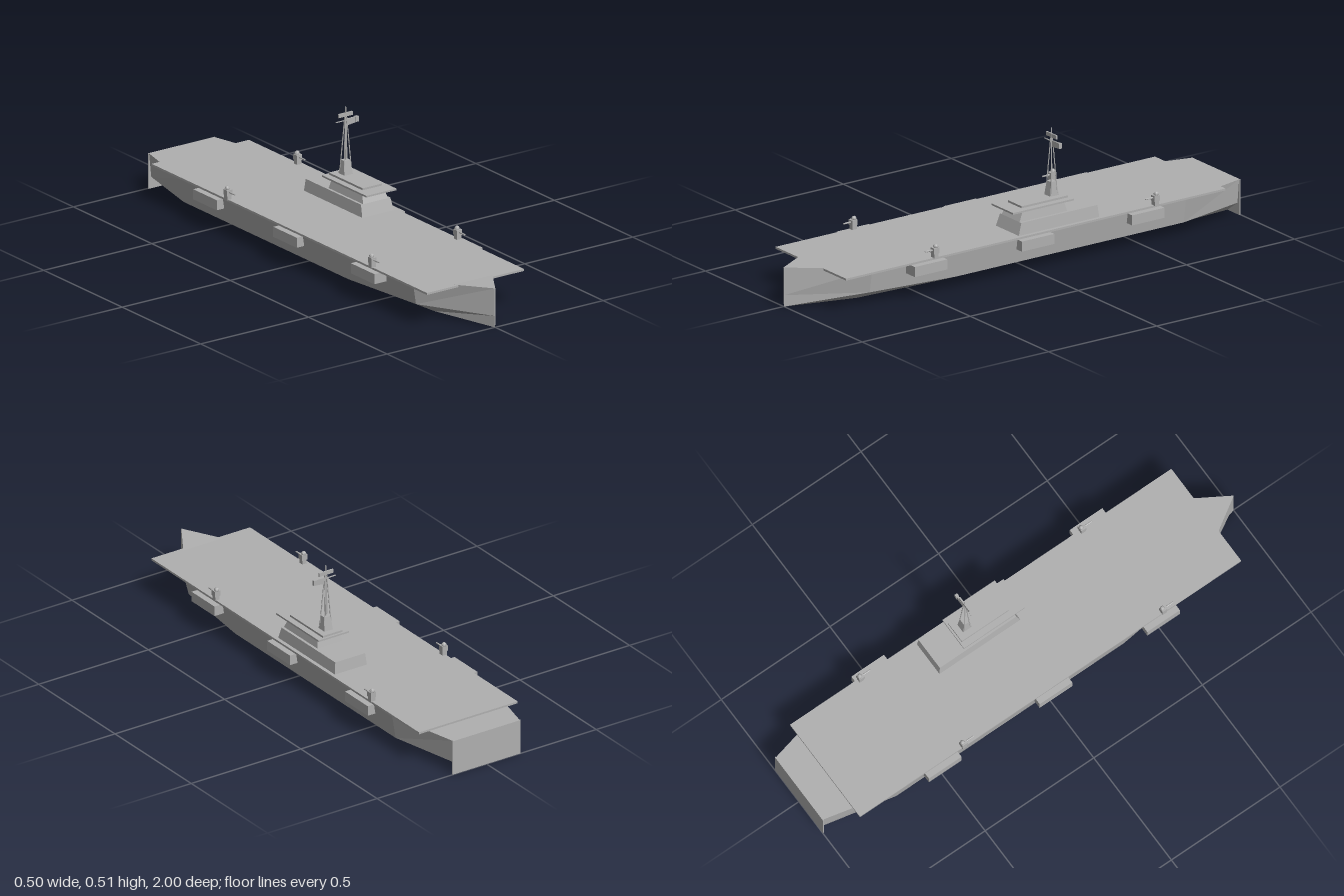
import * as THREE from 'three';

const grey = new THREE.MeshStandardMaterial({ color: 0xb0b0b0, flatShading: true });
grey.name = 'ship grey';

function part(name, geometry, parent) {
  const mesh = new THREE.Mesh(geometry, grey);
  mesh.name = name;
  parent.add(mesh);
  return mesh;
}

// Box given by its limits
function block(name, parent, x0, x1, y0, y1, z0, z1) {
  const mesh = part(name, new THREE.BoxGeometry(x1 - x0, y1 - y0, z1 - z0), parent);
  mesh.position.set((x0 + x1) / 2, (y0 + y1) / 2, (z0 + z1) / 2);
  return mesh;
}

// Box with separate bottom and top rectangles [x0, x1, z0, z1]
function taperedBlock(name, parent, y0, y1, bottom, top) {
  const g = new THREE.BoxGeometry(1, 1, 1);
  const p = g.attributes.position;
  for (let i = 0; i < p.count; i++) {
    const up = p.getY(i) > 0;
    const r = up ? top : bottom;
    p.setXYZ(i, r[p.getX(i) > 0 ? 1 : 0], up ? y1 : y0, r[p.getZ(i) > 0 ? 3 : 2]);
  }
  g.computeVertexNormals();
  return part(name, g, parent);
}

// Thin rod between two points
function rod(name, parent, a, b, r0, r1 = r0) {
  const from = new THREE.Vector3(...a), to = new THREE.Vector3(...b);
  const dir = to.clone().sub(from);
  const mesh = part(name, new THREE.CylinderGeometry(r1, r0, dir.length(), 6), parent);
  mesh.position.copy(from).add(to).multiplyScalar(0.5);
  mesh.quaternion.setFromUnitVectors(new THREE.Vector3(0, 1, 0), dir.normalize());
  return mesh;
}

// Hull lofted through sections: z, half widths at top, chine and keel, top height
function hullGeometry() {
  const sections = [
    [1, 0.001, 0.001, 0.001, 0.155],
    [0.72, 0.178, 0.163, 0.08, 0.141],
    [0.35, 0.222, 0.207, 0.1, 0.141],
    [-0.7, 0.222, 0.207, 0.1, 0.141],
    [-0.995, 0.153, 0.143, 0.08, 0.14],
  ];
  const points = [], index = [];
  for (const [z, top, chine, keel, y] of sections) {
    points.push(top, y, z, chine, 0.045, z, keel, 0, z);
    points.push(-keel, 0, z, -chine, 0.045, z, -top, y, z);
  }
  for (let s = 0; s < sections.length - 1; s++) {
    for (let i = 0; i < 6; i++) {
      const a = s * 6 + i, b = s * 6 + (i + 1) % 6;
      index.push(a, b, a + 6, b, b + 6, a + 6);
    }
  }
  const g = new THREE.BufferGeometry();
  g.setAttribute('position', new THREE.Float32BufferAttribute(points, 3));
  g.setIndex(index);
  const flat = g.toNonIndexed();
  flat.computeVertexNormals();
  return flat;
}

// Small deck gun pointing forward
function deckGun(x, z) {
  const gun = new THREE.Group();
  gun.name = 'deckGun';
  block('gunBase', gun, -0.01, 0.01, 0, 0.022, -0.01, 0.01);
  block('gunBody', gun, -0.012, 0.012, 0.018, 0.04, -0.012, 0.012);
  const dome = part('gunDome', new THREE.SphereGeometry(0.01, 8, 6), gun);
  dome.position.set(0, 0.043, -0.004);
  rod('gunBarrel', gun, [0, 0.031, 0.008], [0, 0.031, 0.045], 0.004, 0.003);
  gun.position.set(x, 0.146, z);
  return gun;
}

export function createModel() {
  const ship = new THREE.Group();
  ship.name = 'carrier';

  // Hull, stem and transom
  part('hull', hullGeometry(), ship);
  block('stem', ship, -0.002, 0.002, 0.01, 0.155, 0.992, 1);
  block('transom', ship, -0.155, 0.155, 0, 0.14, -1, -0.995);

  // Flight deck
  block('flightDeck', ship, -0.225, 0.225, 0.14, 0.148, -0.88, 0.875);

  // Side sponsons
  for (const side of [-1, 1]) {
    for (const z of [-0.505, 0.005, 0.5]) {
      const s = block('sponson', ship, -0.0275, 0.0275, 0.1, 0.14, z - 0.075, z + 0.075);
      s.position.x = side * 0.2225;
    }
  }

  // Deck guns
  for (const [x, z] of [[-0.22, 0.52], [0.219, 0.46], [-0.22, -0.4], [0.219, -0.56]]) {
    ship.add(deckGun(x, z));
  }

  // Island superstructure
  const island = new THREE.Group();
  island.name = 'island';
  ship.add(island);
  taperedBlock('islandBase', island, 0.148, 0.195,
    [0.064, 0.21, -0.307, 0.065], [0.069, 0.205, -0.302, 0.05]);
  taperedBlock('bridge', island, 0.195, 0.235,
    [0.079, 0.194, -0.17, 0.05], [0.088, 0.187, -0.16, 0.03]);
  block('bridgeRoof', island, 0.066, 0.205, 0.235, 0.242, -0.193, 0.088);
  block('roofHouse', island, 0.091, 0.18, 0.242, 0.25, -0.185, 0.03);
  taperedBlock('mastTower', island, 0.25, 0.305,
    [0.117, 0.155, -0.16, -0.12], [0.122, 0.15, -0.152, -0.128]);

  // Mast with legs, yard and radars
  const mast = new THREE.Group();
  mast.name = 'mast';
  island.add(mast);
  rod('pole', mast, [0.136, 0.3, -0.14], [0.136, 0.515, -0.14], 0.0025);
  for (const sx of [-1, 1]) {
    for (const sz of [-1, 1]) {
      rod('mastLeg', mast, [0.136 + sx * 0.017, 0.26, -0.14 + sz * 0.014],
        [0.136 + sx * 0.003, 0.475, -0.14 + sz * 0.002], 0.0022);
    }
  }
  block('yard', mast, 0.091, 0.158, 0.46, 0.463, -0.142, -0.138);
  block('topRadar', mast, 0.103, 0.168, 0.477, 0.492, -0.144, -0.138);
  const pennant = new THREE.Shape([[0.138, 0.44], [0.193, 0.447], [0.193, 0.468], [0.138, 0.466]]
    .map(([x, y]) => new THREE.Vector2(x, y)));
  const radar = part('sideRadar', new THREE.ExtrudeGeometry(pennant,
    { depth: 0.006, bevelEnabled: false }), mast);
  radar.position.z = -0.143;
  block('radarEnd', mast, 0.18, 0.193, 0.447, 0.468, -0.146, -0.134);

  return ship;
}
